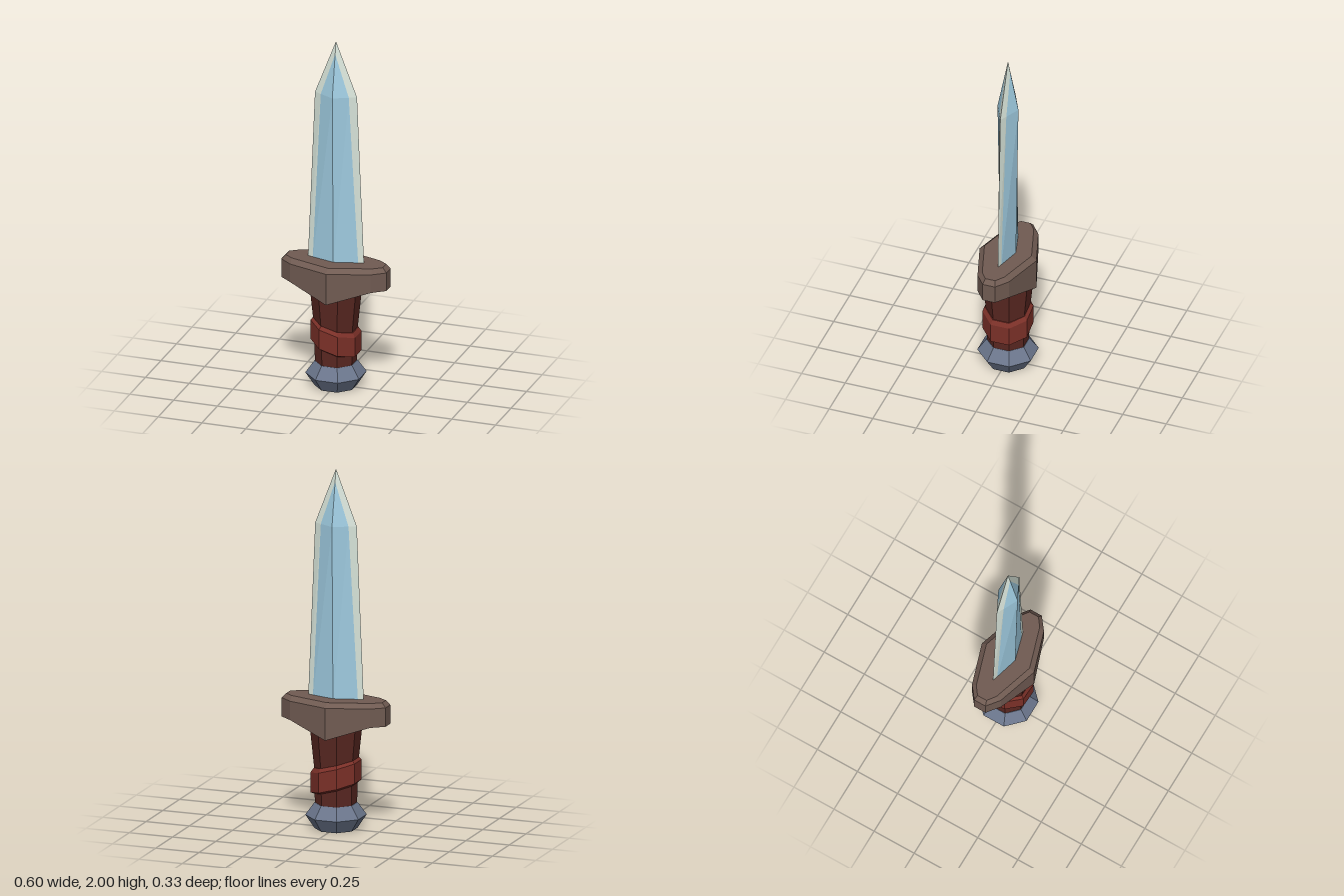
import * as THREE from 'three';

// Flat-shaded mesh from convex polygons, each fanned into triangles
function polyMesh(name, color, polys) {
  const pos = [];
  const area = new THREE.Triangle();
  for (const p of polys) {
    for (let i = 1; i < p.length - 1; i++) {
      area.set(p[0], p[i], p[i + 1]);
      if (area.getArea() < 1e-8) continue;
      for (const v of [p[0], p[i], p[i + 1]]) pos.push(v.x, v.y, v.z);
    }
  }
  const geo = new THREE.BufferGeometry();
  geo.setAttribute('position', new THREE.Float32BufferAttribute(pos, 3));
  geo.computeVertexNormals();
  const mesh = new THREE.Mesh(geo, new THREE.MeshStandardMaterial({ color, flatShading: true }));
  mesh.name = name;
  return mesh;
}

const v = (x, y, z) => new THREE.Vector3(x, y, z);

// Closed solid through rings listed bottom to top, capped at both ends
function loft(name, color, rings) {
  const polys = [];
  const n = rings[0].length;
  for (let r = 0; r < rings.length - 1; r++) {
    const a = rings[r], b = rings[r + 1];
    for (let i = 0; i < n; i++) {
      const j = (i + 1) % n;
      polys.push([a[i], b[i], b[j], a[j]]);
    }
  }
  const bottom = rings[0], top = rings[rings.length - 1];
  for (let i = 0; i < n / 2 - 1; i++) {
    const ids = [i, i + 1, n - 2 - i, n - 1 - i];
    polys.push(ids.map(k => bottom[k]));
    polys.push(ids.map(k => top[k]).reverse());
  }
  return polyMesh(name, color, polys);
}

// Octagon with a flat facing front; w is half its width, slope tilts it sideways
function octagon(w, y, slope = 0) {
  const r = w / Math.cos(Math.PI / 8);
  return Array.from({ length: 8 }, (_, i) => {
    const a = (i + 0.5) * Math.PI / 4;
    const x = r * Math.cos(a);
    return v(x, y + slope * x, r * Math.sin(a));
  });
}

// Strip between two columns of points, mirrored to all four quarters
function quarterPanels(name, color, inner, outer) {
  const polys = [];
  for (const sx of [1, -1]) for (const sz of [1, -1]) {
    const m = p => v(p[0] * sx, p[1], p[2] * sz);
    for (let i = 0; i < inner.length - 1; i++) {
      const q = [inner[i], outer[i], outer[i + 1], inner[i + 1]].map(m);
      polys.push(sx * sz > 0 ? q : q.reverse());
    }
  }
  return polyMesh(name, color, polys);
}

export function createModel() {
  const model = new THREE.Group();
  model.name = 'dagger';

  // Blade: central ridge, bevel line and cutting edge, from guard to tip
  const ridge = [[0, 0.7, 0.045], [0, 1.69, 0.06], [0, 1.93, 0.0135]];
  const bevel = [[0.131, 0.7, 0.0085], [0.08, 1.69, 0.02], [0, 1.93, 0.0135]];
  const edge = [[0.161, 0.7, 0], [0.12, 1.69, 0], [0, 2, 0]];
  const blade = new THREE.Group();
  blade.name = 'blade';
  blade.add(
    quarterPanels('bladeFaces', 0x9ecadf, ridge, bevel),
    quarterPanels('bladeEdges', 0xd6e2d8, bevel, edge)
  );
  model.add(blade);

  // Guard: elongated outline, bevelled on top, underside dropping to the middle
  const guardRing = (half, y, drop = 0) => {
    const [end, corner, mid] = half;
    const front = [end, corner, mid, [-corner[0], corner[1]], [-end[0], end[1]]];
    const all = [...front, ...front.slice().reverse().map(([x, z]) => [x, -z])];
    return all.map(([x, z]) => v(x, y - (x === 0 ? drop : 0), z));
  };
  const outline = [[0.3, 0.035], [0.23, 0.09], [0, 0.163]];
  const topOutline = [[0.277, 0.028], [0.23, 0.063], [0, 0.135]];
  model.add(loft('guard', 0x705b52, [
    guardRing(outline, 0.6, 0.075),
    guardRing(outline, 0.705),
    guardRing(topOutline, 0.73)
  ]));

  // Grip, flaring towards the guard
  model.add(loft('grip', 0x592721, [
    octagon(0.105, 0.12), octagon(0.108, 0.33), octagon(0.132, 0.58)
  ]));

  // Slanted leather band round the grip
  const slope = -0.28;
  model.add(loft('gripBand', 0x7b3028, [
    octagon(0.108, 0.222, slope),
    octagon(0.127, 0.234, slope),
    octagon(0.127, 0.345, slope),
    octagon(0.112, 0.365, slope)
  ]));

  // Pommel
  model.add(loft('pommel', 0x6b768c, [
    octagon(0.107, 0), octagon(0.153, 0.075), octagon(0.107, 0.143)
  ]));

  return model;
}
